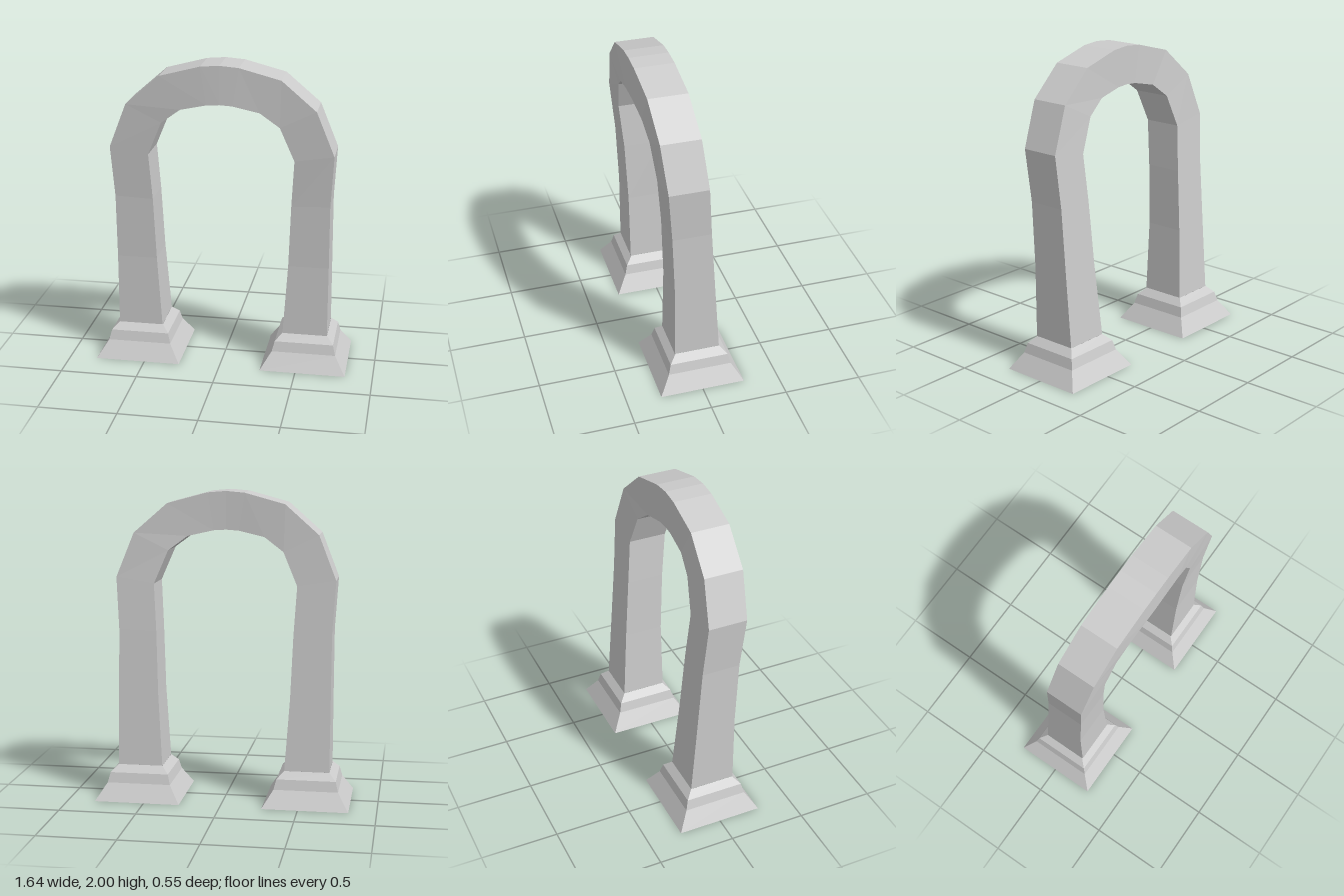
import * as THREE from 'three';

const material = new THREE.MeshStandardMaterial({ color: 0xcccccc, flatShading: true, side: THREE.DoubleSide });

// Skin a run of four-cornered rings with flat quads, open at both ends
function loft(rings, name) {
  const points = [];
  for (let i = 0; i < rings.length - 1; i++) {
    for (let j = 0; j < 4; j++) {
      const k = (j + 1) % 4;
      const a = rings[i][j], b = rings[i][k], c = rings[i + 1][k], d = rings[i + 1][j];
      points.push(...a, ...b, ...c, ...a, ...c, ...d);
    }
  }
  const geometry = new THREE.BufferGeometry();
  geometry.setAttribute('position', new THREE.Float32BufferAttribute(points, 3));
  geometry.computeVertexNormals();
  const mesh = new THREE.Mesh(geometry, material);
  mesh.name = name;
  return mesh;
}

// Section of the arch: outer edge, inner edge, front and back depth
const section = ([ox, oy, ix, iy, front, back]) => [
  [ox, oy, front], [ox, oy, back], [ix, iy, back], [ix, iy, front],
];

export function createModel() {
  const model = new THREE.Group();
  model.name = 'archway';

  // Half the arch, from the foot of the left leg to beside the crown
  const half = [
    [0.69, 0.22, 0.40, 0.22, 0.15, -0.145],
    [0.69, 0.69, 0.43, 0.69, 0.15, -0.11],
    [0.69, 1.11, 0.445, 1.10, 0.168, -0.08],
    [0.71, 1.445, 0.463, 1.405, 0.197, -0.055],
    [0.597, 1.73, 0.372, 1.62, 0.217, -0.036],
    [0.38, 1.92, 0.248, 1.712, 0.231, -0.02],
    [0.12, 1.99, 0.08, 1.75, 0.24, -0.012],
  ];
  const crown = [0, 2, 0, 1.755, 0.242, -0.01];
  const mirrored = half.map(([ox, oy, ix, iy, f, b]) => [-ox, oy, -ix, iy, f, b]).reverse();
  model.add(loft([...half, crown, ...mirrored].map(section), 'arch'));

  // Stepped square plinths, hollow underneath: [half width, height]
  const profile = [[0.277, 0], [0.207, 0.11], [0.19, 0.175], [0.146, 0.22]];
  for (const [side, x] of [['left', 0.545], ['right', -0.545]]) {
    const rings = profile.map(([w, y]) => [[w, y, w], [w, y, -w], [-w, y, -w], [-w, y, w]]);
    const plinth = loft(rings, side + 'Plinth');
    plinth.position.x = x;
    model.add(plinth);
  }
  return model;
}
